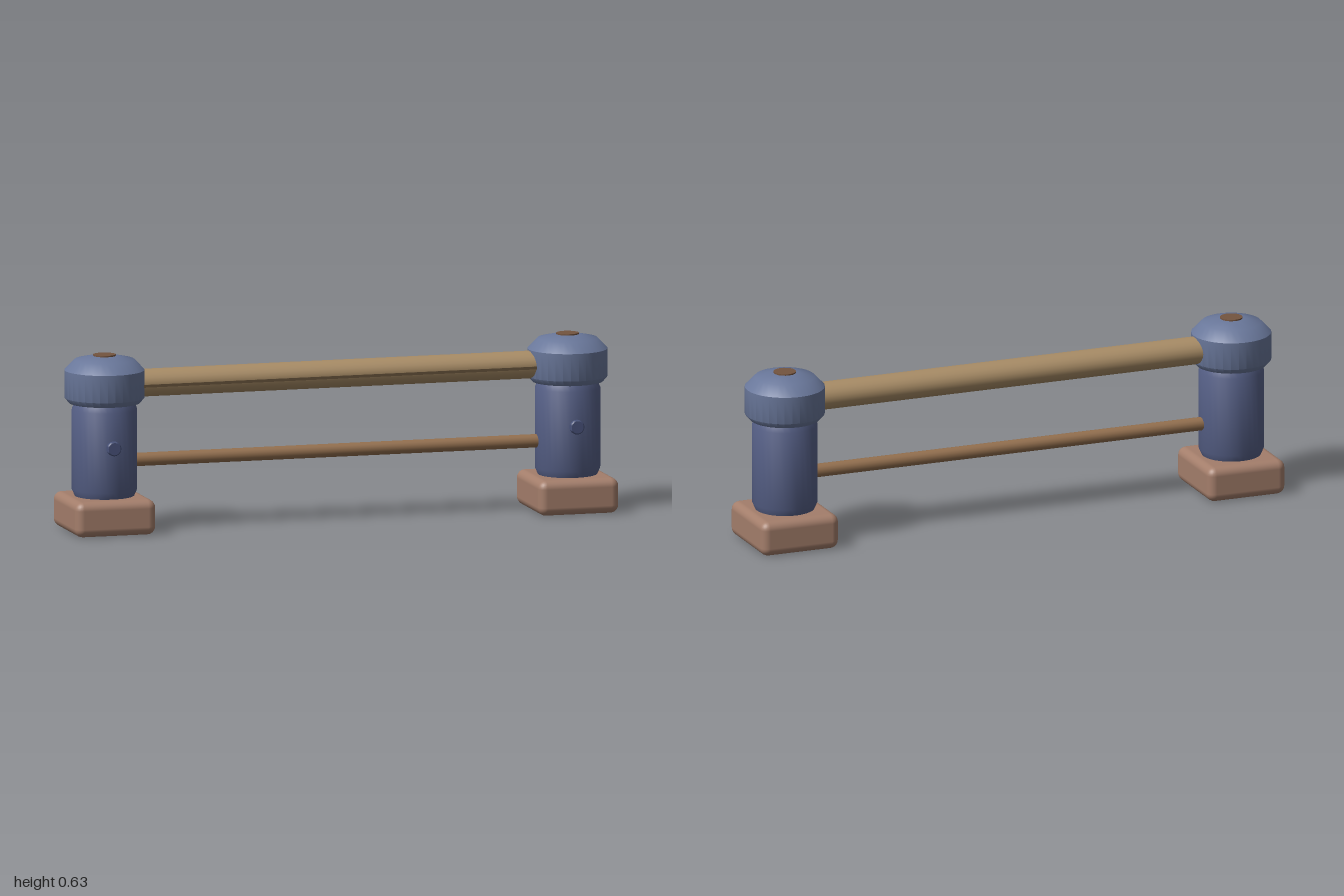
import * as THREE from 'three';
import { RoundedBoxGeometry } from 'three/addons/geometries/RoundedBoxGeometry.js';
import { toCreasedNormals } from 'three/addons/utils/BufferGeometryUtils.js';

const paint = (color) => new THREE.MeshStandardMaterial({ color });
const clay = paint(0xa47e6b);
const blue = paint(0x566087);
const slate = paint(0x69779a);
const button = paint(0x48527a);
const wood = paint(0xa88c66);
const darkWood = paint(0x94704f);
const plugBrown = paint(0x74543f);
const seamBrown = paint(0x65523a);

function part(name, geometry, material, x = 0, y = 0, z = 0) {
  const mesh = new THREE.Mesh(geometry, material);
  mesh.name = name;
  mesh.position.set(x, y, z);
  return mesh;
}

// Turned solid from [radius, height] pairs, bottom to top
function turned(profile, segments = 32) {
  const points = profile.map(([r, y]) => new THREE.Vector2(r, y));
  return toCreasedNormals(new THREE.LatheGeometry(points, segments), 0.7);
}

function createPost(name, x) {
  const post = new THREE.Group();
  post.name = name;
  post.position.x = x;

  // Softened block foot
  post.add(part('foot', new RoundedBoxGeometry(0.296, 0.126, 0.316, 3, 0.03), clay, 0, 0.063));

  // Column with bevelled ends
  post.add(part('column', turned([
    [0, 0.12], [0.105, 0.125], [0.116, 0.15], [0.116, 0.435], [0.105, 0.46], [0, 0.462],
  ]), blue));

  // Domed cap
  post.add(part('cap', turned([
    [0, 0.458], [0.126, 0.458], [0.142, 0.477], [0.142, 0.575],
    [0.106, 0.612], [0.048, 0.625], [0, 0.626],
  ]), slate));

  // Inlaid plug on top of the cap
  post.add(part('capPlug', new THREE.CylinderGeometry(0.04, 0.04, 0.01, 20), plugBrown, 0, 0.625));

  // Round peg on the front
  const peg = turned([[0, 0], [0.026, 0], [0.026, 0.025], [0.022, 0.029], [0, 0.029]], 20);
  peg.rotateX(Math.PI / 2);
  post.add(part('frontPeg', peg, button, 0, 0.31, 0.1));
  return post;
}

export function createModel() {
  const model = new THREE.Group();
  model.name = 'railBarrier';
  model.add(createPost('rightPost', -0.852), createPost('leftPost', 0.852));

  // Thick oval top rail
  const rail = new THREE.CylinderGeometry(1, 1, 1.5, 24);
  rail.rotateZ(Math.PI / 2);
  rail.scale(1, 0.049, 0.057);
  model.add(part('topRail', rail, wood, 0, 0.522));

  // Thin seam along the front of the top rail
  model.add(part('railSeam', new THREE.BoxGeometry(1.46, 0.01, 0.012), seamBrown, 0, 0.518, 0.053));

  // Slim lower rail
  const lower = new THREE.CylinderGeometry(0.024, 0.024, 1.5, 16);
  lower.rotateZ(Math.PI / 2);
  model.add(part('lowerRail', lower, darkWood, 0, 0.248));
  return model;
}
